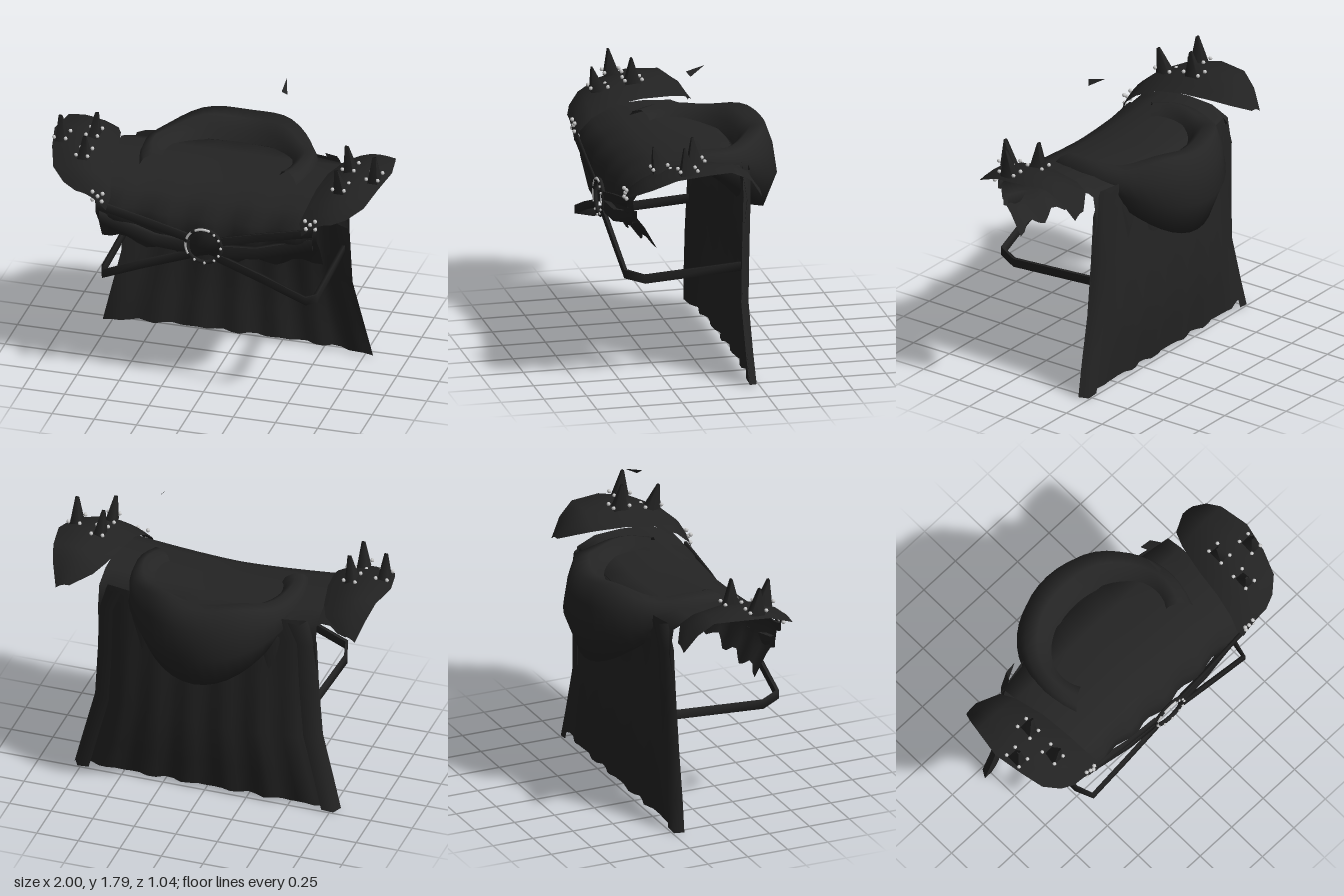
import * as THREE from 'three';

const mat = (name, color) => {
  const m = new THREE.MeshStandardMaterial({ color, side: THREE.DoubleSide });
  m.name = name;
  return m;
};
const lerp = THREE.MathUtils.lerp;

// Skin a list of equally long rows of [x, y, z] points
function skin(rows) {
  const n = rows[0].length, index = [];
  for (let i = 0; i < rows.length - 1; i++)
    for (let j = 0; j < n - 1; j++) {
      const a = i * n + j, b = a + n;
      index.push(a, b, a + 1, b, b + 1, a + 1);
    }
  const g = new THREE.BufferGeometry();
  g.setAttribute('position', new THREE.Float32BufferAttribute(rows.flat(2), 3));
  g.setIndex(index);
  g.computeVertexNormals();
  return g;
}

// Flat band with a rectangular section; height is vertical, depth points outward
function band(points, height, depth) {
  const path = points.map(p => new THREE.Vector3(...p));
  return skin(path.map((p, i) => {
    const t = path[Math.min(i + 1, path.length - 1)].clone().sub(path[Math.max(i - 1, 0)]);
    const out = new THREE.Vector3(-t.z, 0, t.x).normalize().multiplyScalar(depth / 2);
    return [[1, 1], [1, -1], [-1, -1], [-1, 1], [1, 1]]
      .map(([o, h]) => [p.x + out.x * o, p.y + h * height / 2, p.z + out.z * o]);
  })).toNonIndexed();
}

export function createModel() {
  const model = new THREE.Group();
  const cloth = mat('black cloth', 0x242424);
  const leather = mat('black leather', 0x222222);
  const silver = mat('silver metal', 0xd0d0d0);
  const add = (name, geometry, material, parent = model) => {
    const m = new THREE.Mesh(geometry, material);
    m.name = name;
    parent.add(m);
    return m;
  };

  // Cape: flaring sheet with gentle folds, [y, half width, edge z, centre z]
  const capeRows = [[0.02, 0.8, -0.19, -0.23], [0.2, 0.755, -0.18, -0.25], [0.48, 0.685, -0.17, -0.28],
    [0.8, 0.665, -0.18, -0.25], [1.1, 0.655, -0.19, -0.25], [1.24, 0.6, -0.2, -0.24]];
  add('cape', skin(capeRows.map(([y, w, ze, zc], r) => {
    const row = [];
    for (let i = 0; i <= 32; i++) {
      const u = i / 16 - 1, edge = u ** 4;
      const hem = r === 0 ? 0.012 * (1 - edge) + 0.006 * Math.sin(i * 1.9) : 0;
      row.push([u * w, y + hem, lerp(zc, ze, edge) + 0.012 * Math.sin(i * 1.3) * (1 - y / 1.5)]);
    }
    return row;
  })), cloth);
  for (const s of [1, -1])   // folded side borders
    add('capeBorder', skin(capeRows.map(([y, w, ze]) =>
      [[s * w, y, ze], [s * (w - 0.03), y - 0.008, ze - 0.05], [s * (w - 0.1), y, ze - 0.055]])), cloth);

  // Mantle: cloth over both shoulders, each profile point [z, y] at centre and at side
  const mantle = [[-0.26, 0.86, -0.17, 0.84], [-0.28, 1.1, -0.2, 1.08], [-0.25, 1.24, -0.19, 1.22],
    [-0.1, 1.25, -0.08, 1.27], [0.08, 1.255, 0.08, 1.28], [0.25, 1.24, 0.25, 1.27], [0.37, 1.18, 0.4, 1.21],
    [0.44, 1.08, 0.47, 1.12], [0.46, 0.98, 0.46, 1.04], [0.44, 0.9, 0.4, 0.96], [0.38, 0.81, 0.33, 0.86]];
  add('mantle', skin(mantle.map(([zc, yc, zs, ys], r) => {
    const row = [], ends = r === 0 || r === mantle.length - 1;
    for (let i = 0; i <= 24; i++) {
      const u = i / 12 - 1, t = Math.abs(u) ** 1.5;
      const ripple = r > 6 || r < 2 ? 0.014 * Math.cos(u * 16) : 0;
      row.push([u * 0.655, lerp(yc, ys, t) + (ends ? ripple * 2 : 0), lerp(zc, zs, t) + ripple]);
    }
    return row;
  })), cloth);

  // Lowered hood: crescent sagging at the back, [rx, rz, back y, side y]
  const hood = [[0.36, 0.27, 1.22, 1.24], [0.39, 0.31, 1.29, 1.29], [0.44, 0.37, 1.345, 1.32],
    [0.49, 0.46, 1.355, 1.3], [0.51, 0.505, 1.22, 1.26], [0.52, 0.53, 1.05, 1.23],
    [0.47, 0.45, 0.84, 1.2], [0.42, 0.33, 0.86, 1.19], [0.4, 0.25, 1.1, 1.2]];
  const hoodRows = [];
  for (let i = 0; i <= 28; i++) {
    const a = (i / 14 - 1) * 2, k = Math.max(0, Math.cos(a)) ** 1.4;
    hoodRows.push(hood.map(([rx, rz, yb, ys], j) => [
      rx * Math.sin(a),
      lerp(ys, yb, k) + (j > 1 && j < 4 ? 0.012 * Math.cos(a * 6 + Math.PI) : 0),
      -rz * Math.cos(a)]));
  }
  add('hood', skin(hoodRows), cloth);

  // Shoulder guard rows: [z, inner x, inner y, outer x, outer y]
  const guard = [[-0.24, 0.82, 1.21, 0.9, 1.18], [-0.17, 0.7, 1.27, 0.94, 1.29], [-0.08, 0.66, 1.29, 0.97, 1.36],
    [0.1, 0.62, 1.3, 1, 1.36], [0.27, 0.6, 1.28, 0.965, 1.33], [0.4, 0.58, 1.22, 0.92, 1.27],
    [0.47, 0.56, 1.16, 0.84, 1.22], [0.5, 0.58, 1.09, 0.76, 1.19]];
  // Spikes: [base x, base z, tip x, tip z, tip y]
  const spikes = [[0.76, 0.12, 0.74, 0.13, 1.51], [0.925, 0.2, 0.93, 0.22, 1.51], [0.76, 0.32, 0.745, 0.36, 1.47]];
  const frontStuds = [[0.6, 1.19], [0.66, 1.195], [0.63, 1.17], [0.605, 1.14], [0.66, 1.145]];

  for (const s of [1, -1]) {
    const side = new THREE.Group();
    side.name = s > 0 ? 'leftShoulder' : 'rightShoulder';
    model.add(side);
    add('shoulderGuard', skin(guard.map(([z, xi, yi, xo, yo]) => {
      const row = [];
      for (let j = 0; j <= 6; j++) {
        const t = j / 6;
        row.push([s * lerp(xi, xo, t), lerp(yi, yo, t) + 0.05 * Math.sin(Math.PI * t) * (xo - xi) / 0.38, z]);
      }
      return row;
    })), leather, side);

    for (const [bx, bz, tx, tz, ty] of spikes) {
      const by = bz > 0.3 ? 1.32 : 1.35;
      const section = (x, y, z, w, d) => [[1, 1], [1, -1], [-1, -1], [-1, 1], [1, 1]]
        .map(([i, j]) => [s * (x + i * w), y, z + j * d]);
      add('spike', skin([section(bx, by, bz, 0.03, 0.045), section(tx, ty, tz, 0.01, 0.005)]).toNonIndexed(), leather, side);
      for (const i of [1, -1]) for (const j of [1, -1])
        add('spikeStud', new THREE.SphereGeometry(0.012, 6, 4), silver, side)
          .position.set(s * (bx + i * 0.034), by + 0.03, bz + j * 0.05);
    }
    for (const [x, y] of frontStuds)
      add('frontStud', new THREE.SphereGeometry(0.013, 6, 4), silver, side).position.set(s * x, y, 0.495);

    // Straps from the clasp: one up to the shoulder, one around under the arm to the cape
    add('shoulderStrap', band([[s * 0.09, 0.98, 0.49], [s * 0.32, 1.04, 0.49], [s * 0.64, 1.11, 0.48]], 0.05, 0.015), leather, side);
    add('chestFold', band([[s * 0.09, 0.92, 0.48], [s * 0.3, 0.93, 0.47], [s * 0.63, 1.02, 0.44]], 0.07, 0.03), cloth, side);
    add('armStrap', band([[s * 0.08, 0.88, 0.49], [s * 0.35, 0.78, 0.49], [s * 0.6, 0.675, 0.485],
      [s * 0.63, 0.645, 0.38], [s * 0.63, 0.68, -0.18]], 0.05, 0.02), leather, side);
  }

  // Ring clasp with silver inlay and studs
  const clasp = new THREE.Group();
  clasp.name = 'clasp';
  clasp.position.set(0, 0.945, 0.495);
  model.add(clasp);
  add('claspRing', new THREE.TorusGeometry(0.103, 0.013, 6, 28), leather, clasp);
  for (const [from, arc] of [[1.2, 0.85], [2.3, 0.5], [3, 0.7]]) {
    const inlay = add('claspInlay', new THREE.TorusGeometry(0.106, 0.008, 5, 8, arc), silver, clasp);
    inlay.rotation.z = from;
    inlay.position.z = 0.009;
  }
  for (const a of [-2.1, -1.5, -0.9, -0.5, 0, 0.5, 0.9])
    add('claspStud', new THREE.SphereGeometry(0.009, 6, 4), silver, clasp)
      .position.set(0.103 * Math.cos(a), 0.103 * Math.sin(a), 0.012);

  // Loose scrap of cloth floating above
  const scrap = new THREE.BufferGeometry().setFromPoints([
    new THREE.Vector3(0.335, 1.8, -0.04), new THREE.Vector3(0.337, 1.77, 0.07), new THREE.Vector3(0.365, 1.745, 0.05)]);
  scrap.computeVertexNormals();
  add('looseScrap', scrap, cloth);

  return model;
}
